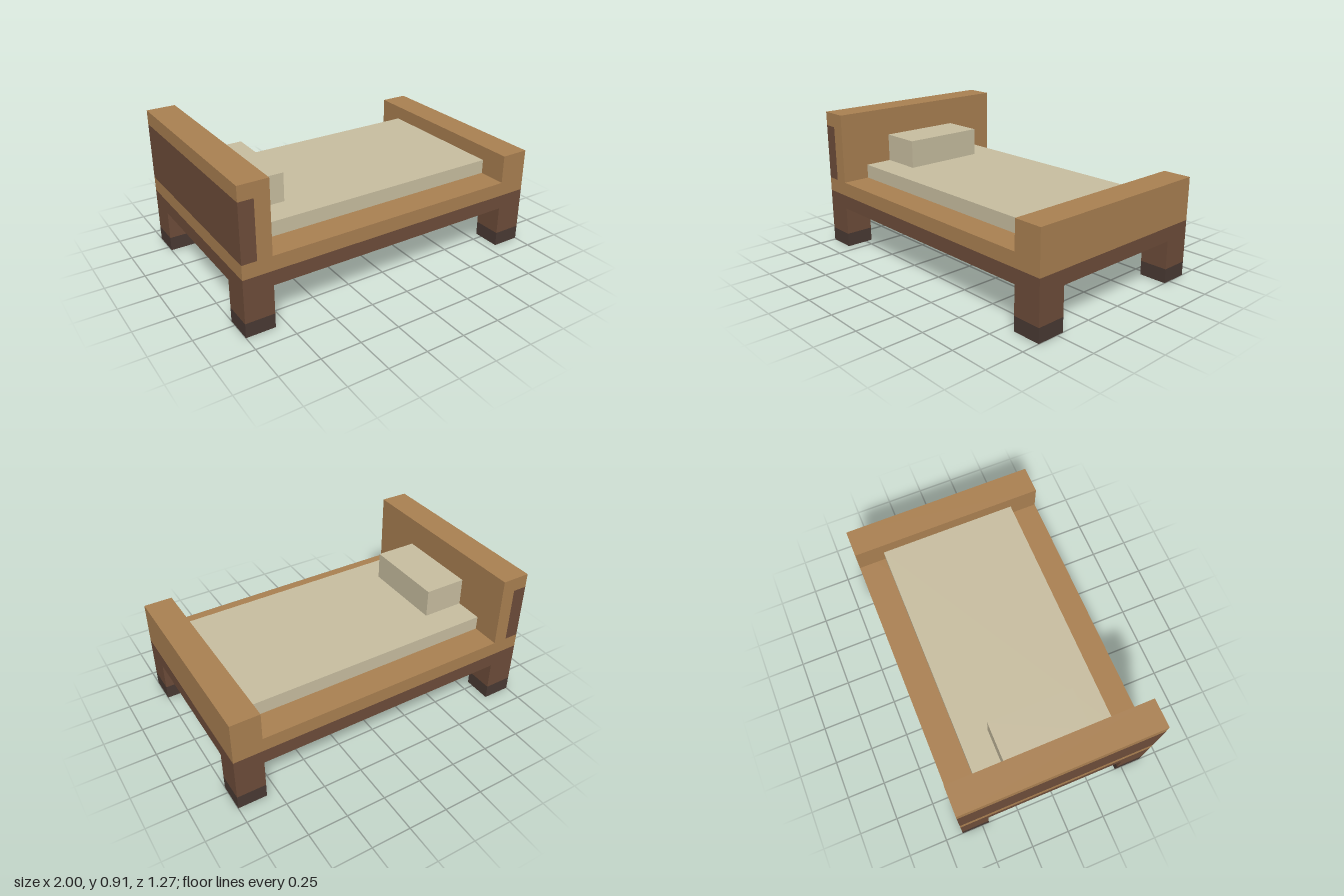
import * as THREE from 'three';

const U = 1 / 11; // the bed is laid out on a grid of 22 x 10 x 14 units

function material(name, color) {
  const m = new THREE.MeshStandardMaterial({ color });
  m.name = name;
  return m;
}

export function createModel() {
  const bed = new THREE.Group();
  bed.name = 'bed';

  const lightWood = material('lightWood', 0xab8152);
  const brownWood = material('brownWood', 0x6e4d3a);
  const darkWood = material('darkWood', 0x4a3a34);
  const linen = material('linen', 0xc9bfa1);

  function add(name, geometry, mat, parent = bed) {
    const mesh = new THREE.Mesh(geometry, mat);
    mesh.name = name;
    parent.add(mesh);
    return mesh;
  }

  // Box given by its lower and upper corners in grid units
  function box(name, mat, [x0, y0, z0], [x1, y1, z1], parent) {
    const g = new THREE.BoxGeometry((x1 - x0) * U, (y1 - y0) * U, (z1 - z0) * U);
    g.translate((x0 + x1) / 2 * U, (y0 + y1) / 2 * U, (z0 + z1) / 2 * U);
    return add(name, g, mat, parent);
  }

  const points = (list) => list.map(([x, y]) => new THREE.Vector2(x * U, y * U));
  const rectangle = (x, y) => points([[-x, -y], [x, -y], [x, y], [-x, y]]);

  // Four legs with dark feet
  for (const sx of [-1, 1]) {
    for (const sz of [-1, 1]) {
      const leg = new THREE.Group();
      leg.name = 'leg';
      const x = sx * 10, z = sz * 6;
      box('foot', darkWood, [x - 1, 0, z - 1], [x + 1, 1, z + 1], leg);
      box('legPost', brownWood, [x - 1, 1, z - 1], [x + 1, 3, z + 1], leg);
      bed.add(leg);
    }
  }

  // Lower frame ring around a dark underside panel
  const ring = new THREE.Shape(rectangle(11, 7));
  ring.holes.push(new THREE.Path(rectangle(9, 5)));
  const ringGeometry = new THREE.ExtrudeGeometry(ring, { depth: U, bevelEnabled: false });
  ringGeometry.rotateX(-Math.PI / 2).translate(0, 3 * U, 0);
  add('lowerFrame', ringGeometry, brownWood);
  box('undersidePanel', darkWood, [-9, 3, -5], [9, 4, 5]);

  // Upper frame and footboard
  box('upperFrame', lightWood, [-11, 4, -7], [11, 5, 7]);
  box('footboard', lightWood, [9, 5, -7], [11, 7, 7]);

  // Headboard: L-shaped section capping a brown back panel
  const section = new THREE.Shape(points([[-9, 5], [-9, 10], [-11, 10], [-11, 9], [-10, 9], [-10, 5]]));
  const headGeometry = new THREE.ExtrudeGeometry(section, { depth: 14 * U, bevelEnabled: false });
  headGeometry.translate(0, 0, -7 * U);
  add('headboard', headGeometry, lightWood);
  box('headboardBackPanel', brownWood, [-11, 5, -7], [-10, 9, 7]);

  // Bedding
  box('mattress', linen, [-9, 5, -5], [9, 6, 5]);
  box('pillow', linen, [-9, 6, -3], [-6, 8, 3]);

  return bed;
}
